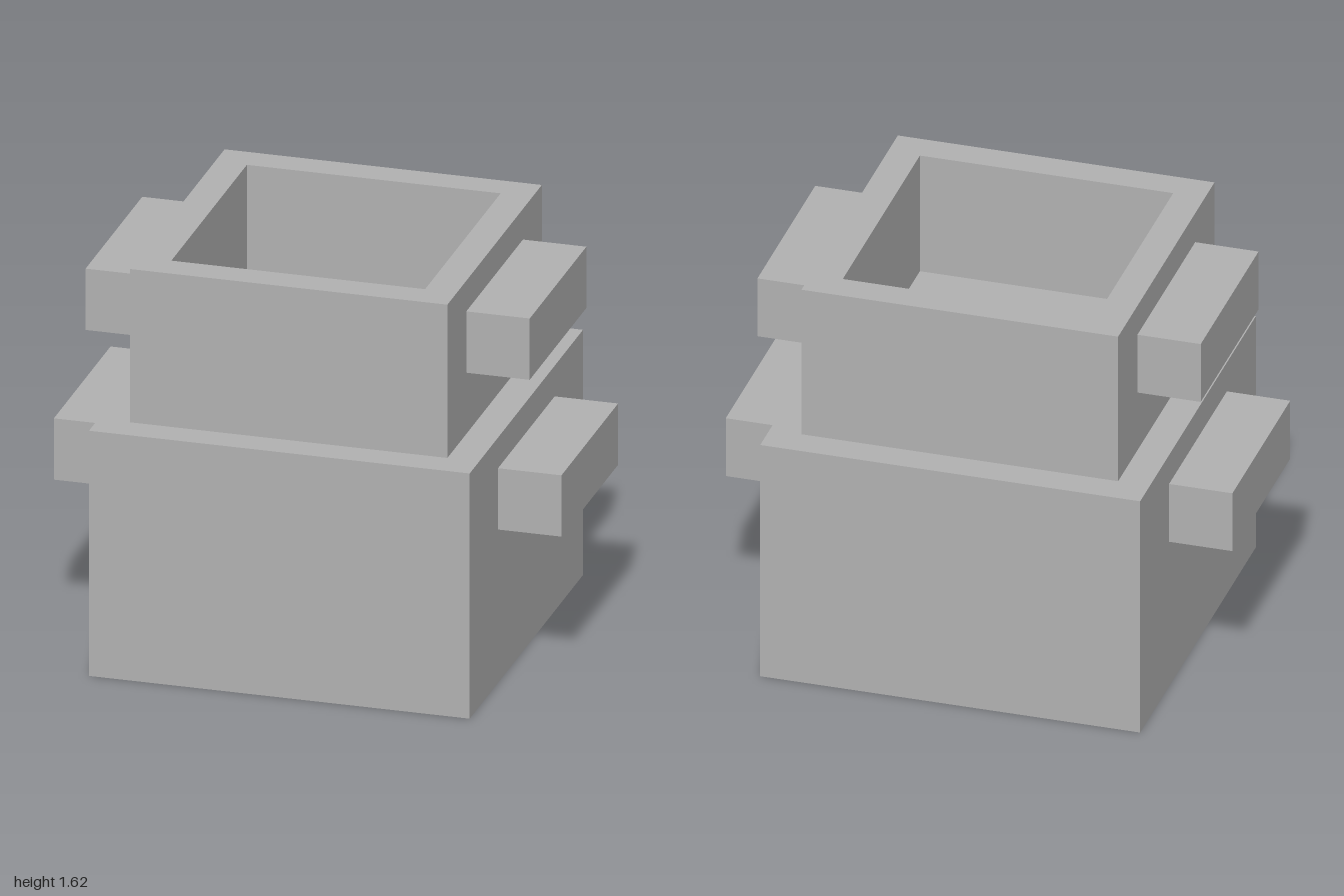
import * as THREE from 'three';

export function createModel() {
  const group = new THREE.Group();
  const grey = new THREE.MeshStandardMaterial({ color: 0xb2b2b2 });
  grey.name = 'grey';

  const add = (name, geometry, x, y, z) => {
    const mesh = new THREE.Mesh(geometry, grey);
    mesh.name = name;
    mesh.position.set(x, y, z);
    group.add(mesh);
  };
  const square = (PathType, h) => new PathType([
    new THREE.Vector2(-h, -h), new THREE.Vector2(h, -h),
    new THREE.Vector2(h, h), new THREE.Vector2(-h, h),
  ]);

  // Solid lower block
  add('lowerBlock', new THREE.BoxGeometry(1.5, 1, 1.5), 0, 0.5, 0);

  // Open square tub: walls with a square hole, plus a floor
  const outline = square(THREE.Shape, 0.625);
  outline.holes.push(square(THREE.Path, 0.5));
  const walls = new THREE.ExtrudeGeometry(outline, { depth: 0.625, bevelEnabled: false });
  walls.rotateX(-Math.PI / 2);
  add('tubWalls', walls, 0, 1, 0);
  add('tubFloor', new THREE.BoxGeometry(1, 0.125, 1), 0, 1.0625, 0);

  // A pair of block handles on each tier
  for (const [side, s] of [['left', 1], ['right', -1]]) {
    add(side + 'LowerHandle', new THREE.BoxGeometry(0.25, 0.25, 0.75), s * 0.875, 0.75, 0);
    add(side + 'UpperHandle', new THREE.BoxGeometry(0.25, 0.25, 0.75), s * 0.75, 1.375, 0);
  }
  return group;
}
